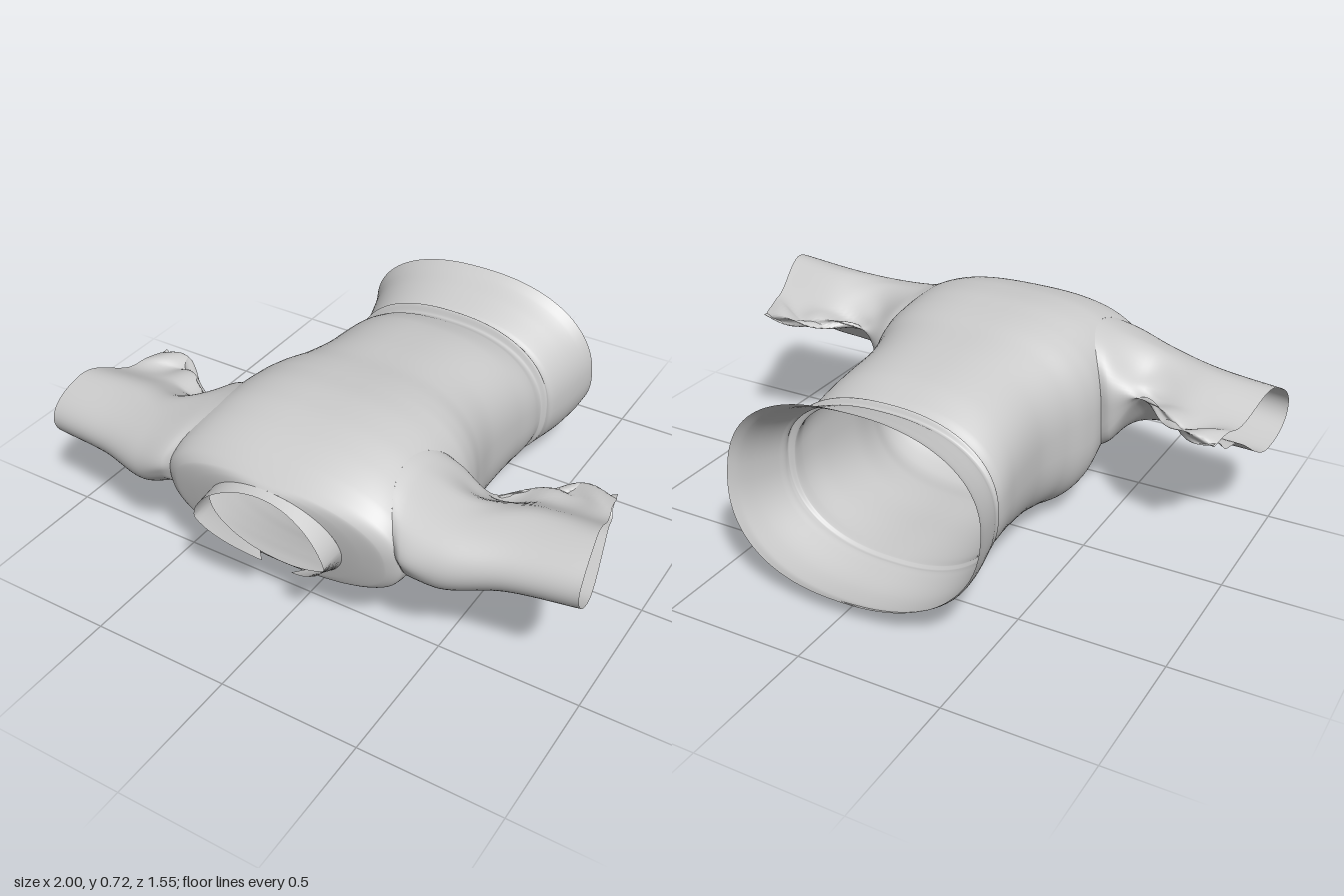
import * as THREE from 'three';

const material = new THREE.MeshStandardMaterial({ color: 0xcccccc, side: THREE.DoubleSide });

// Torso sections: z, top, bottom, half width, tilt, roundness exponent, bow
const SECTIONS = [
  [-0.70, 0.70, 0.07, 0.467, 0.143, 2.3, 0.03],
  [-0.66, 0.675, 0.04, 0.452, 0.11, 2.3, 0.02],
  [-0.59, 0.65, 0.028, 0.433, 0.06, 2.3, 0.005],
  [-0.50, 0.62, 0.038, 0.41, 0.02, 2.3, 0],
  [-0.47, 0.61, 0.042, 0.402, 0, 2.3, 0],
  [-0.455, 0.63, 0.04, 0.402, 0, 2.3, 0],
  [-0.44, 0.60, 0.048, 0.385, 0, 2.3, 0],
  [-0.39, 0.62, 0.048, 0.387, 0, 2.4, 0],
  [-0.28, 0.655, 0.045, 0.378, 0, 2.5, 0],
  [-0.10, 0.68, 0.03, 0.371, 0, 2.6, 0],
  [0.05, 0.695, 0.018, 0.398, 0, 2.7, 0],
  [0.15, 0.71, 0.005, 0.43, 0, 2.8, 0],
  [0.22, 0.718, 0.02, 0.442, 0, 2.8, 0],
  [0.32, 0.725, 0.075, 0.44, 0, 2.8, 0],
  [0.42, 0.72, 0.137, 0.44, 0, 2.8, 0],
  [0.52, 0.70, 0.185, 0.442, 0.02, 2.7, 0],
  [0.60, 0.665, 0.215, 0.445, 0.08, 2.6, 0],
  [0.64, 0.633, 0.225, 0.44, 0.14, 2.5, 0],
  [0.665, 0.61, 0.232, 0.40, 0.18, 2.4, 0],
  [0.675, 0.60, 0.24, 0.32, 0.2, 2.2, 0],
  [0.68, 0.592, 0.245, 0.25, 0.22, 2, 0],
];

// Smooth cubic interpolation of the section table at z
function sectionAt(z) {
  const S = SECTIONS, last = S.length - 1;
  let i = 0;
  while (i < last - 1 && z > S[i + 1][0]) i++;
  const h = S[i + 1][0] - S[i][0], t = (z - S[i][0]) / h;
  const slope = (k, c) => {
    if (k === 0 || k === last) {
      const a = Math.min(k, last - 1);
      return (S[a + 1][c] - S[a][c]) / (S[a + 1][0] - S[a][0]);
    }
    const d0 = (S[k][c] - S[k - 1][c]) / (S[k][0] - S[k - 1][0]);
    const d1 = (S[k + 1][c] - S[k][c]) / (S[k + 1][0] - S[k][0]);
    return d0 * d1 <= 0 ? 0 : 2 * d0 * d1 / (d0 + d1);
  };
  return [1, 2, 3, 4, 5, 6].map(c =>
    (1 + 2 * t) * (1 - t) ** 2 * S[i][c] + t * (1 - t) ** 2 * h * slope(i, c) +
    t * t * (3 - 2 * t) * S[i + 1][c] + t * t * (t - 1) * h * slope(i + 1, c));
}

function torsoPoint(angle, z) {
  const [top, bottom, width, tilt, n, bow] = sectionAt(z);
  const power = v => Math.sign(v) * Math.abs(v) ** (2 / n);
  const rise = power(Math.sin(angle)), dy = (top - bottom) / 2 * rise;
  return new THREE.Vector3(
    width * power(Math.cos(angle)), (top + bottom) / 2 + dy, z + tilt * dy - bow * rise * rise);
}

// Grid surface; cells for which skip(i, j) holds are left open
function gridMesh(name, rows, skip = () => false) {
  const cols = rows[0].length, positions = [], index = [];
  rows.forEach(row => row.forEach(p => positions.push(p.x, p.y, p.z)));
  for (let i = 0; i < rows.length - 1; i++) {
    for (let j = 0; j < cols - 1; j++) {
      if (skip(i, j)) continue;
      const a = i * cols + j, b = a + 1, c = a + cols, d = c + 1;
      index.push(a, b, c, b, d, c);
    }
  }
  const geometry = new THREE.BufferGeometry();
  geometry.setAttribute('position', new THREE.Float32BufferAttribute(positions, 3));
  geometry.setIndex(index);
  geometry.computeVertexNormals();
  // Close the shading seam of loops
  const normal = geometry.attributes.normal;
  rows.forEach((row, i) => {
    if (row[0].distanceTo(row[cols - 1]) > 1e-5) return;
    const a = i * cols, b = a + cols - 1;
    const v = new THREE.Vector3().fromBufferAttribute(normal, a)
      .add(new THREE.Vector3().fromBufferAttribute(normal, b)).normalize();
    normal.setXYZ(a, v.x, v.y, v.z);
    normal.setXYZ(b, v.x, v.y, v.z);
  });
  const mesh = new THREE.Mesh(geometry, material);
  mesh.name = name;
  return mesh;
}

// Armhole: an ellipse in (angle, z) on either side of the torso
const HOLE = { angle: 0.14, z: 0.442, ra: 0.66, rz: 0.208 };

function torso() {
  const STEPS = 6, AROUND = 96, zs = [];
  for (let i = 0; i < SECTIONS.length - 1; i++) {
    for (let k = 0; k < STEPS; k++) {
      zs.push(THREE.MathUtils.lerp(SECTIONS[i][0], SECTIONS[i + 1][0], k / STEPS));
    }
  }
  zs.push(SECTIONS[SECTIONS.length - 1][0]);
  const inside = [];
  const rows = zs.map(z => {
    const flags = [];
    inside.push(flags);
    return Array.from({ length: AROUND + 1 }, (_, j) => {
      // start at the underside so that the seam avoids the armholes
      const angle = j / AROUND * Math.PI * 2 - Math.PI / 2;
      const side = Math.cos(angle) >= 0 ? 1 : -1;
      const local = Math.atan2(Math.sin(angle), Math.abs(Math.cos(angle)));
      const da = (local - HOLE.angle) / HOLE.ra, dz = (z - HOLE.z) / HOLE.rz;
      const r = Math.hypot(da, dz);
      flags.push(r < 1);
      if (r >= 1 || r < 0.01) return torsoPoint(angle, z);
      // pull inner points out to the armhole edge
      const p = torsoPoint(HOLE.angle + da / r * HOLE.ra, HOLE.z + dz / r * HOLE.rz);
      p.x *= side;
      return p;
    });
  });
  return gridMesh('torso', rows, (i, j) =>
    inside[i][j] && inside[i + 1][j] && inside[i][j + 1] && inside[i + 1][j + 1]);
}

// Sleeve ring, round in front; behind the knee it thins into a flat fold
function sleeveRing(t, x, back, front, cy, b, lift, knee) {
  const w = (1 + Math.cos(t)) / 2;
  const thin = 0.2 + 0.8 * THREE.MathUtils.smoothstep(w, knee, knee + 0.5);
  const z = (back + front) / 2 + (front - back) / 2 * Math.cos(t);
  return new THREE.Vector3(x, cy + b * Math.sin(t) * thin + lift * (1 - w) ** 2, z);
}

function sleeve(name, side) {
  const AROUND = 72, ALONG = 40, left = side > 0;
  const columns = Array.from({ length: AROUND + 1 }, (_, j) => {
    const t = j / AROUND * Math.PI * 2;
    const edgeZ = HOLE.z + HOLE.rz * Math.cos(t), swing = HOLE.ra * Math.sin(t);
    // leave the armhole along the torso so that the shoulder flows over
    const root = torsoPoint(HOLE.angle + swing, edgeZ);
    const shoulder = torsoPoint(HOLE.angle + swing * 0.82, edgeZ);
    shoulder.x += 0.028;
    shoulder.z += 0.018 * Math.max(0, Math.cos(t));
    const elbow = left ? sleeveRing(t, 0.57, 0.265, 0.67, 0.47, 0.137, 0.03, 0)
      : sleeveRing(t, 0.57, 0.265, 0.67, 0.428, 0.137, 0.05, 0);
    const middle = left ? sleeveRing(t, 0.76, 0.14, 0.625, 0.505, 0.132, 0.02, 0.17)
      : sleeveRing(t, 0.76, 0.125, 0.625, 0.42, 0.132, 0.045, 0.17);
    const cuff = left ? sleeveRing(t, 1, 0.12, 0.605, 0.535, 0.132, 0, 0.24)
      : sleeveRing(t, 1, 0.09, 0.595, 0.41, 0.132, 0.05, 0.24);
    cuff.x -= 0.1 * Math.max(0, (0.6 - cuff.z) / 0.5) ** 1.3;
    const points = new THREE.CatmullRomCurve3([root, shoulder, elbow, middle, cuff]).getPoints(ALONG);
    // crumpled folds along the back edge
    points.forEach((p, i) => {
      const fold = THREE.MathUtils.smoothstep(-Math.cos(t), 0.3, 0.9) *
        THREE.MathUtils.smoothstep(i / ALONG, 0.35, 0.65);
      p.y += fold * 0.014 * Math.sin(38 * p.x + 5 * t);
      p.z += fold * 0.012 * Math.sin(27 * p.x + 9 * t);
      p.x *= side;
    });
    return points;
  });
  const rows = Array.from({ length: ALONG + 1 }, (_, i) => columns.map(c => c[i]));
  if (left) rows.forEach(row => row.reverse());
  return gridMesh(name, rows);
}

// Stand-up collar band, open at the throat and drawn in below
function collar() {
  const STEPS = 60, zNeck = SECTIONS[SECTIONS.length - 1][0];
  const rows = [0, 0.5, 1].map(k => Array.from({ length: STEPS + 1 }, (_, j) => {
    const angle = THREE.MathUtils.lerp(-1.2, Math.PI + 1.2, j / STEPS);
    const p = torsoPoint(angle, zNeck);
    const low = Math.max(0, -Math.sin(angle));
    p.z += k * (0.03 + 0.06 * Math.cos(angle) ** 2);
    p.x *= 1 - k * (0.02 + 0.38 * low);
    p.y -= k * 0.012 * Math.max(0, Math.sin(angle));
    return p;
  }));
  return gridMesh('collar', rows);
}

export function createModel() {
  const group = new THREE.Group();
  group.name = 'shirt';
  group.add(torso(), sleeve('leftSleeve', 1), sleeve('rightSleeve', -1), collar());
  return group;
}
